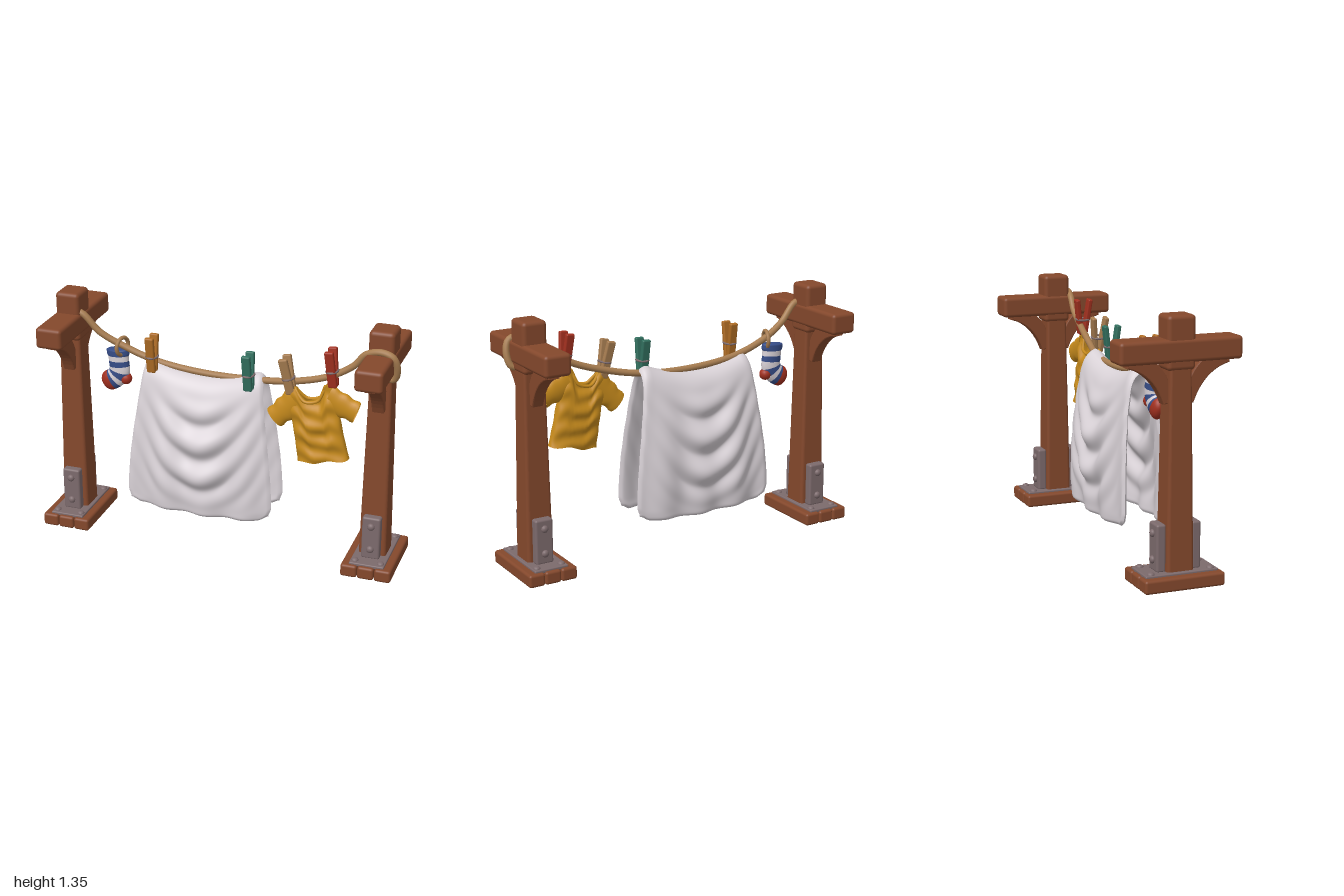
import * as THREE from 'three';
import { mergeVertices } from 'three/addons/utils/BufferGeometryUtils.js';
import { RoundedBoxGeometry } from 'three/addons/geometries/RoundedBoxGeometry.js';

const mat = (name, color, double) => {
  const m = new THREE.MeshStandardMaterial({ color });
  m.name = name;
  if (double) m.side = THREE.DoubleSide;
  return m;
};

const mesh = (parent, name, geo, material, x = 0, y = 0, z = 0) => {
  const m = new THREE.Mesh(geo, material);
  m.name = name;
  m.position.set(x, y, z);
  parent.add(m);
  return m;
};

const box = (w, h, d, r = 0.015) => new RoundedBoxGeometry(w, h, d, 3, r);
const smooth = THREE.MathUtils.smoothstep;

// Grid surface from a rule P(u, v); rows run along v
function surface(P, nu, nv) {
  const pos = [], idx = [];
  for (let j = 0; j <= nv; j++)
    for (let i = 0; i <= nu; i++) pos.push(...P(i / nu, j / nv));
  for (let j = 0; j < nv; j++)
    for (let i = 0; i < nu; i++) {
      const a = j * (nu + 1) + i, b = a + 1, c = a + nu + 1, d = c + 1;
      idx.push(a, b, d, a, d, c);
    }
  const g = new THREE.BufferGeometry();
  g.setAttribute('position', new THREE.Float32BufferAttribute(pos, 3));
  g.setIndex(idx);
  const merged = mergeVertices(g, 1e-5);
  merged.computeVertexNormals();
  return merged;
}

// One face of a padded cloth: offset along the normal, closing at the edges
function clothSide(P, thick, side) {
  const e = 1e-3;
  return (u, v) => {
    const p = new THREE.Vector3(...P(u, v));
    const du = new THREE.Vector3(...P(u + e, v)).sub(new THREE.Vector3(...P(u - e, v)));
    const dv = new THREE.Vector3(...P(u, v + e)).sub(new THREE.Vector3(...P(u, v - e)));
    const edge = Math.min(1, Math.min(u, 1 - u) * 30, Math.min(v, 1 - v) * 70);
    const t = thick * Math.sqrt(Math.max(0, 1 - (1 - edge) ** 2));
    return p.addScaledVector(du.cross(dv).normalize(), t * side).toArray();
  };
}

// Sheet folded over the line, with hanging swags on both halves
function sheetPoint(u, v) {
  const q = u * 2 - 1, w = v * 2 - 1, s = Math.abs(w), sign = w < 0 ? 1 : -1;
  const top = 0.945 + 0.075 * q * q - 0.03 * smooth(Math.abs(q), 0.88, 1);
  const bottom = 0.195 - 0.015 * (1 - q * q) + 0.025 * smooth(Math.abs(q), 0.85, 1);
  const y = top + (bottom - top) * s;
  const half = 0.325 + 0.085 * smooth(s, -0.25, 0.95) - 0.015 * smooth(s, 0.93, 1);
  const x = q * half;
  const centre = Math.cos(q * Math.PI / 2);
  const swag = Math.sin((y - 3 * x * x - 0.41) * 33 + 1.4) * Math.exp(-((x / 0.23) ** 2))
    * smooth(s, 0.08, 0.3) * (1 - smooth(s, 0.72, 0.95));
  const ripple = Math.sin(q * 11 + 0.6) * 0.012 * s;
  let z = 0.045 * (1 - Math.exp(-s * 28)) + 0.055 * s
    + 0.075 * (0.35 + 0.65 * centre) * Math.sin(Math.PI * Math.min(1, s ** 0.8) * 0.85);
  z += 0.022 * swag + ripple;
  return [x - 0.103, y, z * sign];
}

function buildPost(M, side) {
  const post = new THREE.Group();
  post.name = side < 0 ? 'rightPost' : 'leftPost';
  post.position.x = side * 0.865;

  // Tapered upright
  const upright = new RoundedBoxGeometry(0.15, 1.12, 0.145, 6, 0.018);
  const p = upright.attributes.position;
  for (let i = 0; i < p.count; i++) {
    const k = 1 - 0.22 * smooth(p.getY(i), -0.56, 0.56);
    p.setX(i, p.getX(i) * k);
    p.setZ(i, p.getZ(i) * k);
  }
  upright.computeVertexNormals();
  mesh(post, 'upright', upright, M.wood, 0, 0.62, 0);
  mesh(post, 'postCap', box(0.135, 0.27, 0.15, 0.022), M.wood, 0, 1.215, 0);
  mesh(post, 'crossbeam', box(0.147, 0.115, 0.648, 0.02), M.wood, 0, 1.177, 0);

  // Curved braces under the crossbeam
  const s = new THREE.Shape();
  s.moveTo(0.045, 0.925);
  s.lineTo(0.075, 0.92);
  s.quadraticCurveTo(0.13, 1.07, 0.265, 1.105);
  s.lineTo(0.265, 1.13);
  s.lineTo(0.14, 1.13);
  s.quadraticCurveTo(0.085, 1.09, 0.06, 1.03);
  s.lineTo(0.045, 1.03);
  const brace = new THREE.ExtrudeGeometry(s, { depth: 0.05, bevelSize: 0.006, bevelThickness: 0.008, bevelSegments: 2, curveSegments: 10 });
  brace.translate(0, 0, -0.025);
  for (const d of [-1, 1]) mesh(post, 'brace', brace, M.wood).rotation.y = -d * Math.PI / 2;

  // Plank foot and metal fittings
  for (let i = -1; i <= 1; i++)
    mesh(post, 'footPlank', box(0.089, 0.07, 0.43, 0.014), M.wood, i * 0.092, 0.035, 0);
  mesh(post, 'footPlate', box(0.19, 0.02, 0.39, 0.006), M.metal, 0, 0.071, 0);
  const bolt = new THREE.SphereGeometry(0.02, 14, 10);
  for (const d of [-1, 1]) {
    mesh(post, 'bracket', box(0.1, 0.245, 0.05, 0.012), M.metal, 0, 0.198, d * 0.094);
    for (const y of [0.135, 0.27])
      mesh(post, 'bracketBolt', bolt, M.metal, 0, y, d * 0.121).scale.z = 0.8;
    for (const x of [-0.07, 0.07])
      mesh(post, 'footBolt', bolt, M.metal, x, 0.08, d * 0.16).scale.y = 0.7;
  }
  return post;
}

function buildPin(M, material, x, y, z, tilt) {
  const pin = new THREE.Group();
  pin.name = 'clothesPin';
  pin.position.set(x, y, z);
  pin.rotation.z = tilt;
  for (const d of [-1, 1])
    mesh(pin, 'pinLeg', box(0.048, 0.205, 0.026, 0.008), material, 0, 0, d * 0.025).rotation.x = d * 0.13;
  const spring = mesh(pin, 'pinSpring', new THREE.TorusGeometry(0.03, 0.006, 8, 20), M.metal, 0, -0.015, 0);
  spring.rotation.x = Math.PI / 2;
  spring.scale.y = 1.25;
  return pin;
}

function buildShirt(M) {
  const shirt = new THREE.Group();
  shirt.name = 'shirt';
  shirt.position.set(0.587, 0.61, 0.092);
  shirt.rotation.z = 0.2;
  // Body tube, pinched along the shoulders with a dipped neckline
  mesh(shirt, 'shirtBody', surface((u, v) => {
    const a = u * Math.PI * 2, c = Math.cos(a), sn = Math.sin(a);
    const x = Math.sign(c) * Math.abs(c) ** 0.75 * (0.14 - 0.01 * Math.sin(v * Math.PI) - 0.012 * smooth(v, 0.85, 1));
    const top = 0.335 + 0.08 * smooth(Math.abs(x), 0.04, 0.085) - 0.025 * smooth(Math.abs(x), 0.1, 0.14);
    const fold = 0.006 * Math.sin(v * 24 + x * 22) + 0.004 * Math.sin(v * 13 - x * 30);
    const z = Math.sign(sn) * Math.abs(sn) ** 0.7 * (0.045 - 0.022 * smooth(v, 0.65, 1) + fold);
    return [x, v * top + 0.006 * Math.sin(x * 40) * (1 - v), z];
  }, 48, 40), M.gold);
  // Sleeves flare out and down from the shoulders
  for (const d of [-1, 1])
    mesh(shirt, 'sleeve', surface((u, v) => {
      const a = u * Math.PI * 2, r = 0.075 - 0.018 * v + 0.004 * Math.sin(v * 15);
      const k = Math.cos(a) * r;
      return [d * (0.085 + 0.14 * v + k * 0.5), 0.342 - 0.09 * v + k * 0.86, Math.sin(a) * (0.03 + 0.006 * v)];
    }, 28, 12), M.gold);
  // Rolled neckline
  const neck = new THREE.CatmullRomCurve3([[-0.082, 0.408, 0], [-0.04, 0.342, 0.026], [0, 0.333, 0.028], [0.04, 0.342, 0.026],
    [0.082, 0.408, 0], [0.04, 0.342, -0.026], [0, 0.333, -0.028], [-0.04, 0.342, -0.026]].map(q => new THREE.Vector3(...q)), true);
  mesh(shirt, 'collar', new THREE.TubeGeometry(neck, 48, 0.009, 8, true), M.gold);
  return shirt;
}

function buildSock(M) {
  const sock = new THREE.Group();
  sock.name = 'sock';
  const path = new THREE.CatmullRomCurve3([[-0.612, 1.042], [-0.607, 0.97], [-0.605, 0.905], [-0.635, 0.862], [-0.705, 0.828]]
    .map(([x, y]) => new THREE.Vector3(x, y, -0.01)));
  // Striped bands, each a slice of the same sweep
  const stops = [0, 0.16, 0.27, 0.39, 0.5, 0.61, 0.7, 0.78, 1];
  const colours = [M.blue, M.cloth, M.blue, M.cloth, M.blue, M.cloth, M.blue, M.red];
  colours.forEach((material, b) => {
    mesh(sock, 'sockBand', surface((u, v) => {
      const t = stops[b] + (stops[b + 1] - stops[b]) * v;
      const p = path.getPointAt(t), d = path.getTangentAt(t), a = u * Math.PI * 2;
      const round = Math.sqrt(Math.max(0, 1 - Math.max(0, 1 - t / 0.03) ** 2))
        * Math.sqrt(Math.max(0, 1 - Math.max(0, (t - 0.82) / 0.18) ** 2));
      const r = (0.058 + 0.007 * (1 - smooth(t, 0.12, 0.18))) * round;
      return [p.x - d.y * r * Math.cos(a), p.y + d.x * r * Math.cos(a), p.z + 0.036 * round * Math.sin(a)];
    }, 28, 10), material);
  });
  mesh(sock, 'sockHeel', new THREE.SphereGeometry(0.033, 16, 12), M.red, -0.567, 0.868, -0.01);
  const ring = mesh(sock, 'sockRing', new THREE.TorusGeometry(0.048, 0.011, 10, 28), M.rope, -0.578, 1.06, 0.005);
  ring.rotation.y = Math.PI / 2 - 0.3;
  return sock;
}

export function createModel() {
  const M = {
    wood: mat('brown wood', 0x84482c), metal: mat('dull metal', 0x7c6a6c), rope: mat('tan rope', 0xa67c50),
    cloth: mat('white cloth', 0xd8d1d6, true), gold: mat('gold cloth', 0xc68a1c, true), orange: mat('orange wood', 0xae6c24),
    teal: mat('teal paint', 0x32705f), red: mat('red', 0xa2301f, true), blue: mat('blue cloth', 0x364d88, true),
  };
  const model = new THREE.Group();
  model.name = 'clothesline';
  for (const side of [-1, 1]) model.add(buildPost(M, side));

  // Sagging rope, looped over the beam at the far end
  const line = new THREE.CatmullRomCurve3([
    [-0.86, 1.25, 0.04], [-0.79, 1.235, 0.04], [-0.7, 1.14, 0.03], [-0.58, 1.07, 0.01], [-0.38, 1.0, 0], [-0.1, 0.967, 0],
    [0.2, 0.975, 0.01], [0.4, 1.01, 0.045], [0.6, 1.075, 0.07], [0.73, 1.155, 0.075], [0.79, 1.225, 0.08],
    [0.87, 1.25, 0.09], [0.935, 1.23, 0.095], [0.955, 1.165, 0.08], [0.935, 1.1, 0.06], [0.87, 1.105, 0.05],
  ].map(q => new THREE.Vector3(...q)));
  mesh(model, 'rope', new THREE.TubeGeometry(line, 140, 0.018, 12), M.rope);

  // Padded sheet, both faces
  const sheet = new THREE.Group();
  sheet.name = 'sheet';
  model.add(sheet);
  for (const side of [-1, 1])
    mesh(sheet, side > 0 ? 'sheetOuter' : 'sheetInner', surface(clothSide(sheetPoint, 0.013, side), 64, 160), M.cloth);

  model.add(buildShirt(M), buildSock(M));
  model.add(
    buildPin(M, M.orange, -0.38, 1.068, 0.068, 0),
    buildPin(M, M.teal, 0.165, 1.042, 0.08, 0.03),
    buildPin(M, M.rope, 0.385, 1.06, 0.092, 0.2),
    buildPin(M, M.red, 0.618, 1.13, 0.088, 0.1),
  );
  return model;
}
